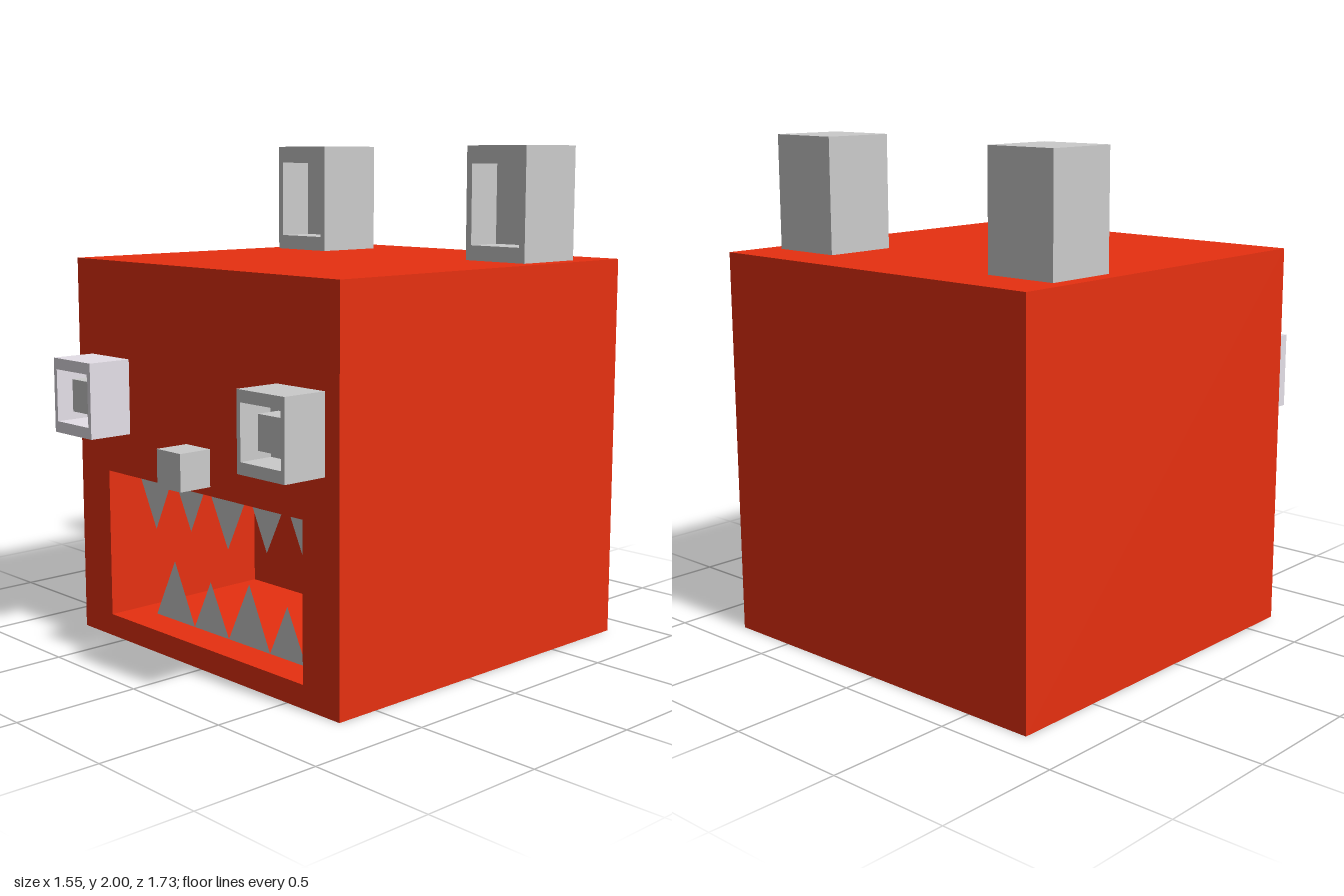
import * as THREE from 'three';
import { mergeGeometries } from 'three/addons/utils/BufferGeometryUtils.js';

const red = new THREE.MeshStandardMaterial({ color: 0xe73010 });
const grey = new THREE.MeshStandardMaterial({ color: 0xcccccc });
const pale = new THREE.MeshStandardMaterial({ color: 0xe5e0e8 });
const thin = new THREE.MeshStandardMaterial({ color: 0xcccccc, side: THREE.DoubleSide });

// Box between two corners
function boxBetween([x0, y0, z0], [x1, y1, z1]) {
  return new THREE.BoxGeometry(x1 - x0, y1 - y0, z1 - z0)
    .translate((x0 + x1) / 2, (y0 + y1) / 2, (z0 + z1) / 2);
}

// Box without its +z face, optionally turned inside out
function openBox(min, max, inward) {
  const g = boxBetween(min, max);
  const index = Array.from(g.index.array).filter((_, i) => i < 24 || i >= 30);
  if (inward) {
    index.reverse();
    const n = g.attributes.normal;
    for (let i = 0; i < n.count; i++) n.setXYZ(i, -n.getX(i), -n.getY(i), -n.getZ(i));
  }
  g.setIndex(index);
  g.clearGroups();
  return g;
}

const rect = (C, x0, y0, x1, y1) => new C(
  [[x0, y0], [x1, y0], [x1, y1], [x0, y1]].map(p => new THREE.Vector2(...p)));

// Box with a rectangular recess (hole = x0, y0, x1, y1) sunk into its front
function recessedBox(min, max, hole, depth) {
  const [hx0, hy0, hx1, hy1] = hole;
  const face = rect(THREE.Shape, min[0], min[1], max[0], max[1]);
  face.holes.push(rect(THREE.Path, ...hole));
  return mergeGeometries([
    openBox(min, max, false),
    new THREE.ShapeGeometry(face).translate(0, 0, max[2]),
    openBox([hx0, hy0, max[2] - depth], [hx1, hy1, max[2]], true),
  ]);
}

export function createModel() {
  const model = new THREE.Group();
  const add = (name, geometry, material, parent = model) => {
    const mesh = new THREE.Mesh(geometry, material);
    mesh.name = name;
    parent.add(mesh);
  };

  // Head with a deep open mouth
  add('head', recessedBox([-0.775, 0, -0.865], [0.775, 1.55, 0.68],
    [-0.585, 0.09, 0.585, 0.695], 0.77), red);

  // Ears with hollow fronts
  for (const [name, x, z] of [['rightEar', -0.56, -0.355], ['leftEar', 0.555, -0.362]]) {
    add(name, recessedBox([x - 0.15, 1.55, z - 0.3], [x + 0.15, 2, z],
      [x - 0.123, 1.61, x + 0.123, 1.93], 0.15), grey);
  }

  // Eyes: recessed blocks, each with a pupil inside
  for (const [name, x, material] of [['right', -0.56, pale], ['left', 0.577, grey]]) {
    const eye = new THREE.Group();
    eye.name = name + 'Eye';
    add(name + 'EyeSocket', recessedBox([x - 0.125, 0.865, 0.68], [x + 0.125, 1.165, 0.865],
      [x - 0.106, 0.91, x + 0.106, 1.12], 0.14), material, eye);
    add(name + 'Pupil', boxBetween([x - 0.064, 0.95, 0.725], [x + 0.064, 1.08, 0.82]), grey, eye);
    model.add(eye);
  }

  add('nose', boxBetween([-0.072, 0.73, 0.68], [0.07, 0.875, 0.82]), grey);

  // Flat triangular teeth: edges along the gum, then a tip x and y for each tooth
  const rows = [
    ['upperTeeth', 0.695, [-0.585, -0.34, -0.125, 0.125, 0.34, 0.585],
      [[-0.46, 0.45], [-0.23, 0.48], [0, 0.45], [0.23, 0.48], [0.46, 0.45]]],
    ['lowerTeeth', 0.09, [-0.465, -0.215, 0, 0.245, 0.45],
      [[-0.34, 0.337], [-0.11, 0.297], [0.125, 0.337], [0.345, 0.297]]],
  ];
  for (const [name, gum, edges, tips] of rows) {
    const teeth = tips.map((tip, i) => new THREE.ShapeGeometry(new THREE.Shape(
      [[edges[i], gum], [edges[i + 1], gum], tip].map(p => new THREE.Vector2(...p)))));
    add(name, mergeGeometries(teeth).translate(0, 0, 0.54), thin);
  }
  return model;
}
